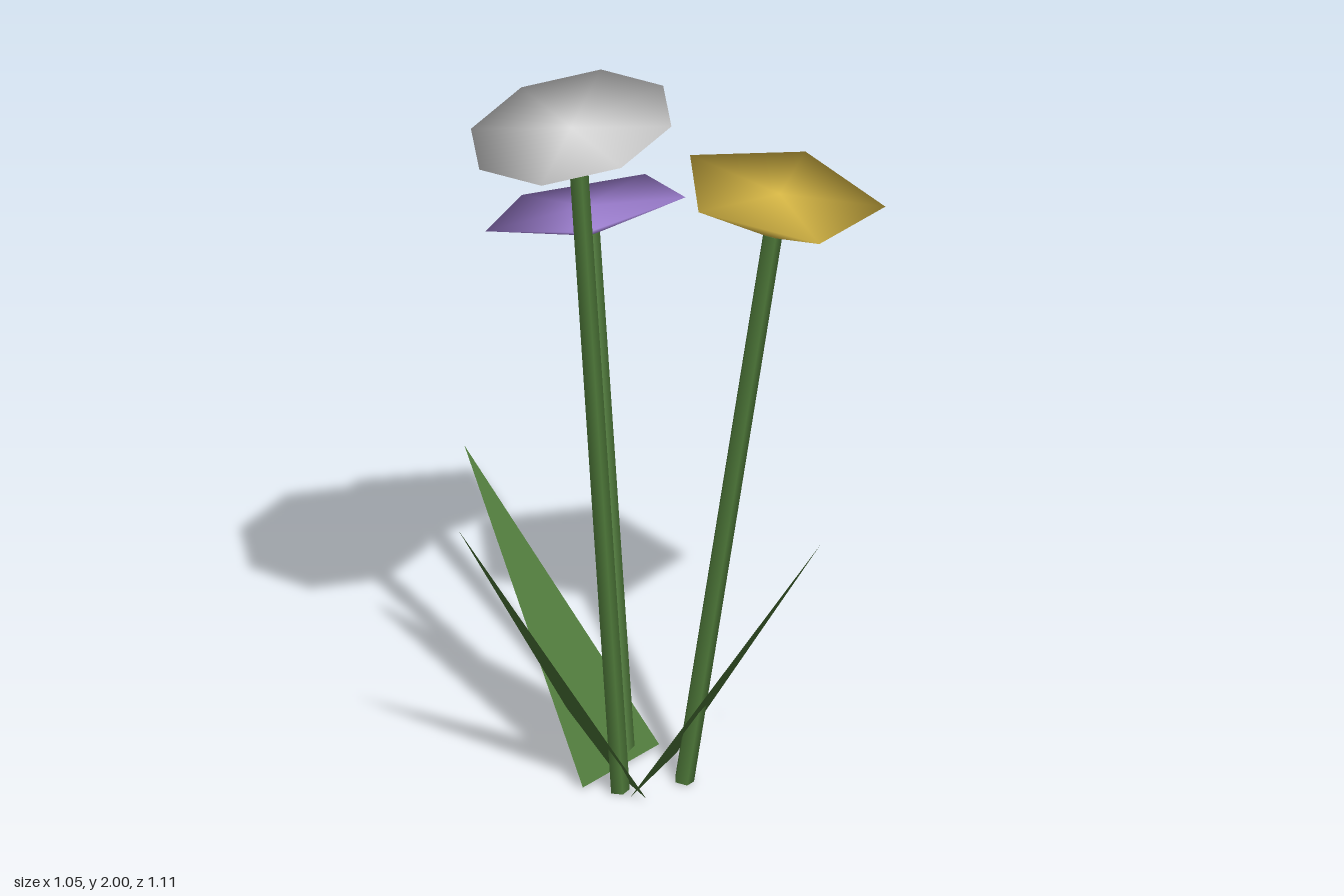
import * as THREE from 'three';

const UP = new THREE.Vector3(0, 1, 0);
const vec = (a) => new THREE.Vector3(...a);

// Closed shallow inverted cone with normals smoothed over the rim
function blossomGeometry(sides, radius, depth, phase) {
  const pos = [0, 0, 0, 0, -depth, 0];
  const index = [];
  for (let i = 0; i < sides; i++) {
    const a = phase + (i / sides) * Math.PI * 2;
    pos.push(radius * Math.cos(a), 0, radius * Math.sin(a));
    const p = 2 + i;
    const q = 2 + ((i + 1) % sides);
    index.push(0, q, p, 1, p, q);
  }
  const geo = new THREE.BufferGeometry();
  geo.setAttribute('position', new THREE.Float32BufferAttribute(pos, 3));
  geo.setIndex(index);
  geo.computeVertexNormals();
  return geo;
}

export function createModel() {
  const model = new THREE.Group();
  const material = (name, color) => {
    const m = new THREE.MeshStandardMaterial({ color });
    m.name = name;
    return m;
  };
  const green = material('leafGreen', 0x4f7a3a);
  green.side = THREE.DoubleSide;
  const white = material('petalWhite', 0xe4e4e4);
  const yellow = material('petalYellow', 0xdfbe48);
  const purple = material('petalPurple', 0xa988e0);

  const add = (geo, mat, name) => {
    const mesh = new THREE.Mesh(geo, mat);
    mesh.name = name;
    model.add(mesh);
    return mesh;
  };

  // Flowers: a leaning stem with a tilted blossom on top
  const flowers = [
    { name: 'white', mat: white, sides: 8, base: [-0.105, 0.006, 0.135], center: [-0.26, 1.943, 0.21],
      normal: [-0.21, 1, 0], radius: 0.268, depth: 0.08, phase: -0.15 },
    { name: 'yellow', mat: yellow, sides: 5, base: [0.065, 0.006, 0.14], center: [0.27, 1.70, 0.284],
      normal: [0.165, 1, 0.04], radius: 0.27, depth: 0.125, phase: 1.53 },
    { name: 'purple', mat: purple, sides: 5, base: [-0.03, 0.006, -0.035], center: [-0.038, 1.428, -0.313],
      normal: [-0.09, 1, -0.27], radius: 0.268, depth: 0.078, phase: 3.13 },
  ];
  for (const f of flowers) {
    const n = vec(f.normal).normalize();
    const blossom = add(blossomGeometry(f.sides, f.radius, f.depth, f.phase), f.mat, f.name + 'Blossom');
    blossom.position.set(...f.center);
    blossom.quaternion.setFromUnitVectors(UP, n);

    const base = vec(f.base);
    const top = vec(f.center).addScaledVector(n, -f.depth * 0.9);
    const along = top.clone().sub(base);
    const stem = add(new THREE.CylinderGeometry(0.026, 0.026, along.length(), 5), green, f.name + 'Stem');
    stem.position.copy(base).addScaledVector(along, 0.5);
    stem.quaternion.setFromUnitVectors(UP, along.normalize());
  }

  // Leaves: single pointed blades, two base corners and a tip
  const leaves = [
    ['backLeaf', [-0.19, 0.01, 0.10, 0.07, 0.01, -0.06, -0.32, 0.745, -0.425]],
    ['rightLeaf', [-0.10, 0.01, -0.07, -0.06, 0.01, 0.21, -0.525, 0.80, 0.11]],
    ['frontLeaf', [0.095, 0.01, 0, -0.095, 0.01, 0.19, 0.32, 0.78, 0.45]],
  ];
  for (const [name, corners] of leaves) {
    const geo = new THREE.BufferGeometry();
    geo.setAttribute('position', new THREE.Float32BufferAttribute(corners, 3));
    geo.computeVertexNormals();
    add(geo, green, name);
  }
  return model;
}
